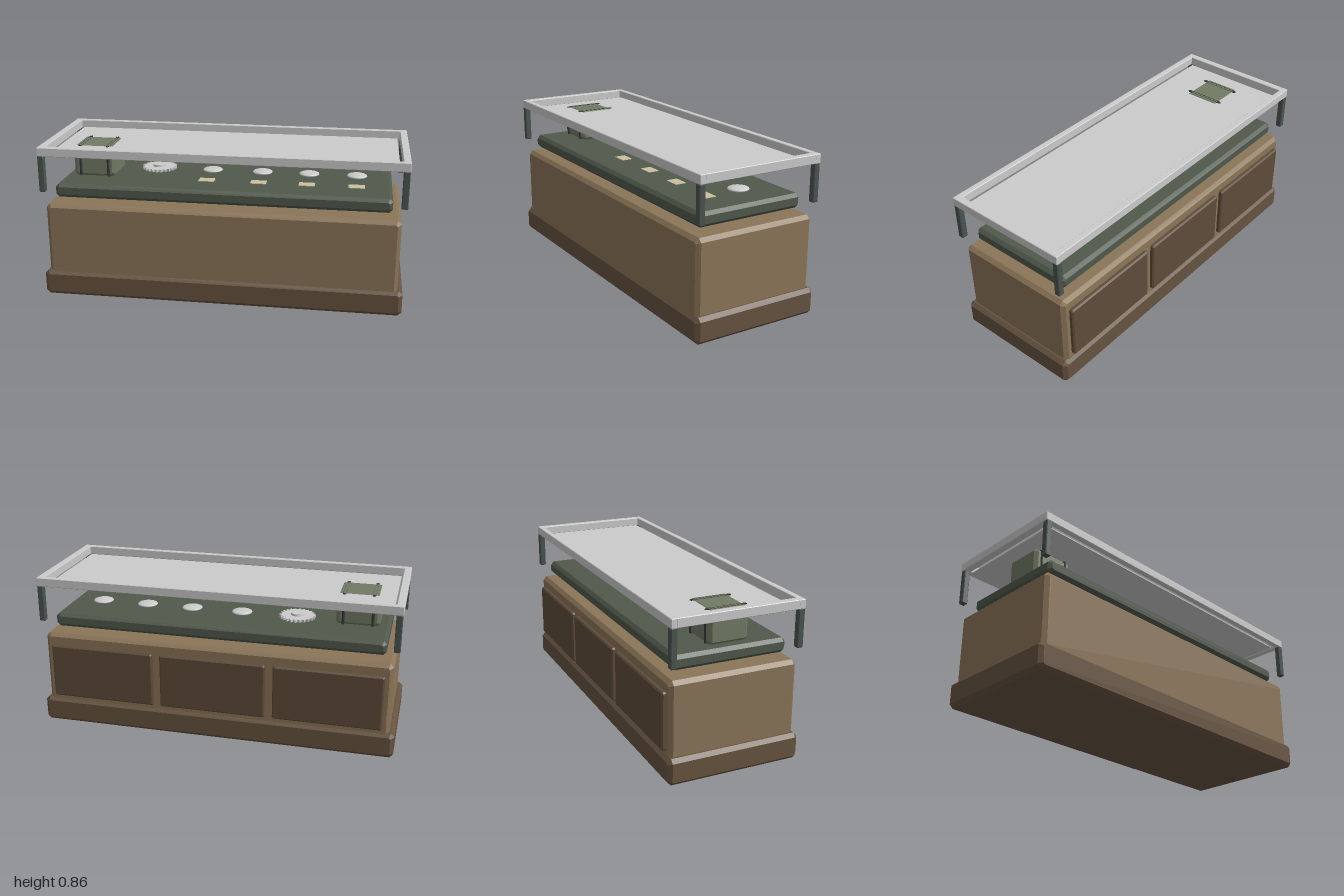
import * as THREE from 'three';

const mat = (color) => new THREE.MeshStandardMaterial({ color });
const BASE = mat(0x665340), BODY = mat(0x8b7558), PANEL = mat(0x5f4c3a), SLAB = mat(0x50594c),
  POST = mat(0x4a5450), PACK = mat(0x717a64), STRAP = mat(0x343a34), CARD = mat(0xcabf9f), METAL = mat(0xcccccc);

// Box with every edge chamfered by c, given by its min and max corners
function chamferBox([x0, y0, z0], [x1, y1, z1], c) {
  const a = (x1 - x0) / 2 - c, b = (y1 - y0) / 2 - c, t = c * 0.414;
  const pts = [[a - t, -b], [a, -b + t], [a, b - t], [a - t, b], [-a + t, b], [-a, b - t], [-a, -b + t], [-a + t, -b]];
  const depth = z1 - z0 - 2 * c;
  const g = new THREE.ExtrudeGeometry(new THREE.Shape(pts.map((p) => new THREE.Vector2(...p))), {
    depth, bevelEnabled: true, bevelThickness: c, bevelSize: c, bevelSegments: 1,
  });
  return g.translate((x0 + x1) / 2, (y0 + y1) / 2, z0 + c);
}

export function createModel() {
  const model = new THREE.Group();
  const add = (name, geometry, material, parent = model) => {
    const m = new THREE.Mesh(geometry, material);
    m.name = name;
    parent.add(m);
    return m;
  };

  // Cabinet
  add('plinth', chamferBox([-1, 0, -0.36], [1, 0.143, 0.37], 0.02), BASE);
  add('cabinetBody', chamferBox([-0.972, 0.11, -0.345], [0.972, 0.537, 0.354], 0.02), BODY);
  for (const x of [-0.635, 0, 0.635]) {
    add('backPanel', chamferBox([x - 0.296, 0.165, -0.368], [x + 0.296, 0.473, -0.335], 0.008), PANEL);
  }
  add('counterSlab', chamferBox([-0.925, 0.567, -0.305], [0.922, 0.644, 0.315], 0.018), SLAB);

  // Raised rim on four posts, with a flat pane inside it
  const rim = new THREE.Group();
  rim.name = 'rim';
  model.add(rim);
  for (const [z0, z1] of [[0.331, 0.365], [-0.354, -0.32]]) {
    add('longRail', chamferBox([-1, 0.812, z0], [1, 0.861, z1], 0.003), METAL, rim);
    for (const s of [-1, 1]) {
      const x = s * 0.98;
      add('post', chamferBox([x - 0.017, 0.61, z0], [x + 0.017, 0.814, z1], 0.004), POST);
    }
  }
  for (const x of [-0.98, 0.98]) {
    add('shortRail', chamferBox([x - 0.02, 0.812, -0.325], [x + 0.02, 0.861, 0.336], 0.003), METAL, rim);
  }
  add('pane', new THREE.BoxGeometry(1.895, 0.005, 0.636).translate(0, 0.8145, -0.002), METAL);

  // Strapped pack, its top just breaking the pane
  const pack = new THREE.Group();
  pack.name = 'pack';
  model.add(pack);
  add('packBody', chamferBox([-0.87, 0.64, -0.09], [-0.63, 0.82, 0.13], 0.018), PACK, pack);
  for (const x of [-0.83, -0.67]) {
    add('strap', chamferBox([x - 0.008, 0.64, -0.096], [x + 0.008, 0.828, 0.136], 0.006), STRAP, pack);
  }
  add('packTag', chamferBox([-0.79, 0.756, -0.103], [-0.71, 0.811, -0.085], 0.003), METAL, pack);

  // Toothed plate with a raised hub
  const plate = new THREE.Group();
  plate.name = 'toothedPlate';
  plate.position.set(-0.415, 0.661, -0.058);
  model.add(plate);
  const gear = new THREE.Shape();
  const teeth = 24;
  for (let i = 0; i < teeth * 4; i++) {
    const r = i % 4 < 2 ? 0.1 : 0.087, a = (i / (teeth * 4)) * Math.PI * 2;
    gear[i ? 'lineTo' : 'moveTo'](r * Math.cos(a), r * Math.sin(a));
  }
  add('plateDisc', new THREE.ExtrudeGeometry(gear, { depth: 0.014, bevelEnabled: false })
    .rotateX(-Math.PI / 2).translate(0, -0.007, 0), METAL, plate);
  add('plateHub', new THREE.CylinderGeometry(0.035, 0.042, 0.036, 24), METAL, plate);

  // Row of pebble-like discs, each with a small card in front
  for (const x of [-0.1, 0.19, 0.457, 0.727]) {
    add('displayDisc', new THREE.SphereGeometry(0.057, 28, 14).scale(1, 0.23, 1).translate(x, 0.658, -0.058), METAL);
    add('card', new THREE.BoxGeometry(0.088, 0.003, 0.062).translate(x, 0.655, 0.141), CARD);
  }
  return model;
}
